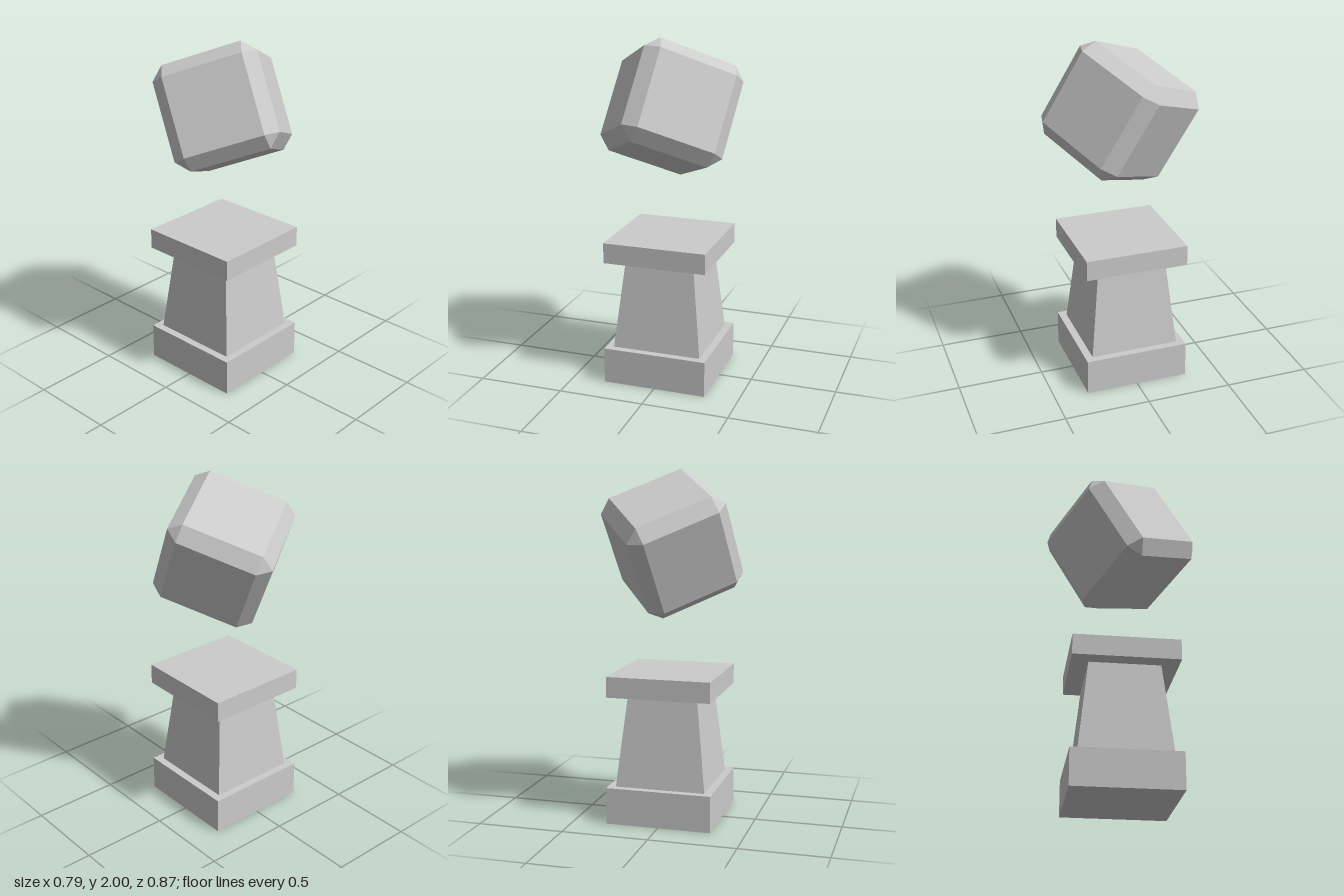
import * as THREE from 'three';
import { ConvexGeometry } from 'three/addons/geometries/ConvexGeometry.js';

const material = new THREE.MeshStandardMaterial({ color: 0xcccccc, flatShading: true });

// Square block, optionally tapered, given half widths and its bottom and top heights
function block(name, halfBottom, halfTop, y0, y1) {
  const geometry = new THREE.CylinderGeometry(halfTop * Math.SQRT2, halfBottom * Math.SQRT2, y1 - y0, 4);
  geometry.rotateY(Math.PI / 4);
  const mesh = new THREE.Mesh(geometry, material);
  mesh.name = name;
  mesh.position.y = (y0 + y1) / 2;
  return mesh;
}

// Cube with chamfered edges and corners: half = face distance, flat = half side of each face
function chamferedCube(half, flat) {
  const points = [];
  for (const x of [-1, 1]) for (const y of [-1, 1]) for (const z of [-1, 1]) {
    points.push(
      new THREE.Vector3(x * half, y * flat, z * flat),
      new THREE.Vector3(x * flat, y * half, z * flat),
      new THREE.Vector3(x * flat, y * flat, z * half),
    );
  }
  return new ConvexGeometry(points);
}

export function createModel() {
  const model = new THREE.Group();
  model.name = 'pedestalWithFloatingCube';

  // Pedestal
  const pedestal = new THREE.Group();
  pedestal.name = 'pedestal';
  pedestal.add(
    block('base', 0.304, 0.304, 0, 0.21),
    block('shaft', 0.26, 0.202, 0.21, 0.735),
    block('cap', 0.3, 0.3, 0.735, 0.853),
  );
  model.add(pedestal);

  // Tilted cube hovering above the pedestal, oriented by its three face directions
  const cube = new THREE.Mesh(chamferedCube(0.297, 0.225), material);
  cube.name = 'floatingCube';
  const faceA = new THREE.Vector3(-0.806, 0.366, 0.466).normalize();
  const faceTop = new THREE.Vector3(0.122, 0.872, -0.475).normalize();
  const faceB = faceTop.clone().cross(faceA).normalize();
  faceTop.crossVectors(faceA, faceB);
  cube.quaternion.setFromRotationMatrix(new THREE.Matrix4().makeBasis(faceA, faceB, faceTop));
  cube.position.y = 1.586;
  model.add(cube);

  return model;
}
